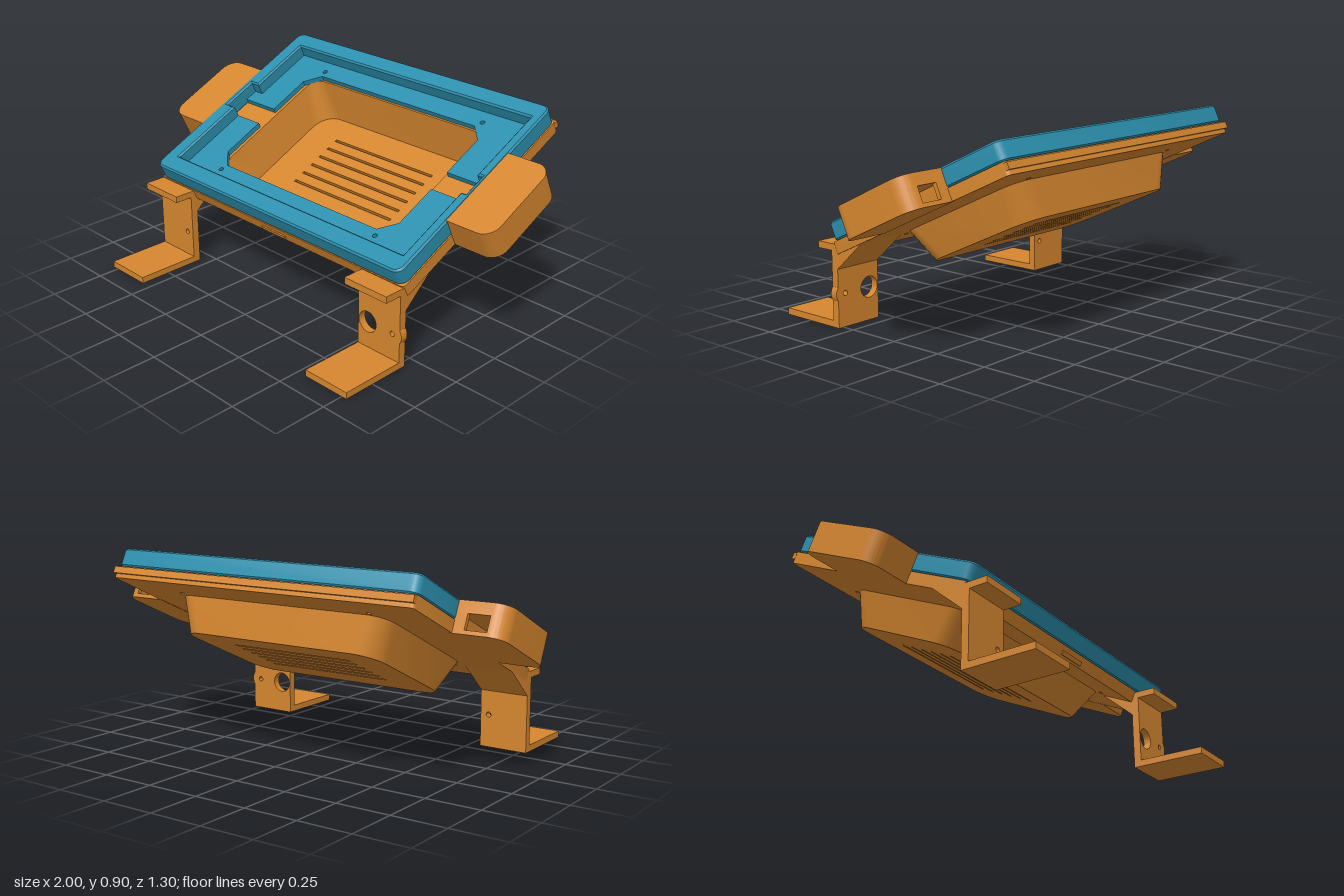
import * as THREE from 'three';
import { toCreasedNormals } from 'three/addons/utils/BufferGeometryUtils.js';

const orange = new THREE.MeshStandardMaterial({ color: 0xd5862f, side: THREE.DoubleSide });
const blue = new THREE.MeshStandardMaterial({ color: 0x2c8fad, side: THREE.DoubleSide });

function add(parent, name, geometry, material) {
  const mesh = new THREE.Mesh(geometry, material);
  mesh.name = name;
  parent.add(mesh);
  return mesh;
}

function box(parent, name, material, x0, x1, y0, y1, z0, z1) {
  const g = new THREE.BoxGeometry(x1 - x0, y1 - y0, z1 - z0);
  g.translate((x0 + x1) / 2, (y0 + y1) / 2, (z0 + z1) / 2);
  return add(parent, name, g, material);
}

// Points of a rounded rectangle with half sizes a, b and corner radius r
function roundedPoints(a, b, r, n = 8) {
  const pts = [];
  [[1, 1], [-1, 1], [-1, -1], [1, -1]].forEach(([sx, sy], k) => {
    for (let i = 0; i <= n; i++) {
      const t = (k + i / n) * Math.PI / 2;
      pts.push(new THREE.Vector2(sx * (a - r) + r * Math.cos(t), sy * (b - r) + r * Math.sin(t)));
    }
  });
  return pts;
}

const polygon = (pts) => new THREE.Shape(pts.map(([x, y]) => new THREE.Vector2(x, y)));

function circleHole(x, y, r) {
  const p = new THREE.Path();
  p.absarc(x, y, r, 0, Math.PI * 2, true);
  return p;
}

// Extrudes a plan shape (x, -z) from height y0 to y1
function slab(shape, y0, y1, bevel = 0) {
  const g = new THREE.ExtrudeGeometry(shape, {
    depth: y1 - y0 - 2 * bevel, curveSegments: 12, bevelEnabled: bevel > 0,
    bevelSize: bevel, bevelThickness: bevel, bevelOffset: -bevel, bevelSegments: 1,
  });
  g.rotateX(-Math.PI / 2);
  g.translate(0, y0 + bevel, 0);
  return toCreasedNormals(g, 0.5);
}

// Skin between rounded rectangles given as [halfX, halfZ, radius, y]
function loft(rings) {
  const pos = [], idx = [];
  const loops = rings.map(([a, b, r]) => roundedPoints(a, b, r));
  const n = loops[0].length;
  loops.forEach((loop, k) => loop.forEach((p) => pos.push(p.x, rings[k][3], -p.y)));
  for (let k = 0; k < rings.length - 1; k++) {
    for (let i = 0; i < n; i++) {
      const a = k * n + i, b = k * n + (i + 1) % n;
      idx.push(a, a + n, b, b, a + n, b + n);
    }
  }
  const g = new THREE.BufferGeometry();
  g.setAttribute('position', new THREE.Float32BufferAttribute(pos, 3));
  g.setIndex(idx);
  return toCreasedNormals(g, 0.5);
}

function buildFrame(tilted) {
  // Raised rim with a bump in the recess for each cable exit
  const rim = new THREE.Shape(roundedPoints(0.78, 0.53, 0.04));
  rim.holes.push(polygon([
    [0.73, -0.44], [0.73, -0.055], [0.755, -0.055], [0.755, 0.055], [0.73, 0.055], [0.73, 0.44],
    [-0.7, 0.44], [-0.7, 0.12], [-0.75, 0.12], [-0.75, -0.055], [-0.7, -0.055], [-0.7, -0.44],
  ]));
  add(tilted, 'frameRim', slab(rim, 0, 0.085, 0.008), blue);

  // Recess floor in two halves, split by the cable channel
  for (const s of [1, -1]) {
    const half = polygon([
      [0.76, 0.055], [0.76, 0.5], [-0.755, 0.5], [-0.755, 0.055], [-0.55, 0.055],
      [-0.55, 0.275], [-0.48, 0.345], [0.48, 0.345], [0.55, 0.275], [0.55, 0.055],
    ].map(([x, y]) => [x, y * s]));
    for (const x of [-0.49, 0.5]) half.holes.push(circleHole(x, s * 0.378, 0.011));
    add(tilted, s > 0 ? 'backFloor' : 'frontFloor', slab(half, 0.001, 0.025), blue);
  }
}

function buildBase(tilted) {
  // Base plate with the basin opening and screw holes
  const plate = new THREE.Shape(roundedPoints(0.78, 0.53, 0.015));
  plate.holes.push(new THREE.Path(roundedPoints(0.535, 0.338, 0.07)));
  for (const s of [1, -1]) for (const x of [-0.49, 0.5]) plate.holes.push(circleHole(x, s * 0.378, 0.011));
  add(tilted, 'basePlate', slab(plate, -0.055, 0), orange);
  box(tilted, 'backLip', orange, -0.78, 0.78, -0.036, -0.006, -0.541, -0.52);
  box(tilted, 'frontTab', orange, -0.075, 0.075, -0.045, -0.025, 0.52, 0.536);

  // Tapered basin: outer skin, inner skin and slotted floor
  add(tilted, 'basinWall', loft([
    [0.535, 0.338, 0.07, 0], [0.497, 0.292, 0.1, -0.19], [0.51, 0.31, 0.11, -0.21], [0.552, 0.355, 0.09, -0.05],
  ]), orange);
  const floor = new THREE.Shape(roundedPoints(0.509, 0.309, 0.11));
  for (let i = 0; i < 6; i++) {
    const z = -0.162 + i * 0.0607;
    floor.holes.push(polygon([[-0.31, -z - 0.006], [-0.31, -z + 0.006], [0.31, -z + 0.006], [0.31, -z - 0.006]]));
  }
  add(tilted, 'basinFloor', slab(floor, -0.21, -0.19), orange);
}

// Hollow side pod with a slot in its back wall
function buildPod(tilted, side) {
  const pod = new THREE.Group();
  pod.name = side > 0 ? 'leftPod' : 'rightPod';
  const cap = new THREE.Shape();
  cap.moveTo(0.77, -0.215);
  cap.lineTo(0.93, -0.215);
  cap.absarc(0.93, -0.145, 0.07, -Math.PI / 2, 0, false);
  cap.absarc(0.93, 0.145, 0.07, 0, Math.PI / 2, false);
  cap.lineTo(0.77, 0.215);
  const ring = new THREE.Shape();
  ring.moveTo(0.77, -0.215);
  ring.lineTo(0.93, -0.215);
  ring.absarc(0.93, -0.145, 0.07, -Math.PI / 2, 0, false);
  ring.absarc(0.93, 0.145, 0.07, 0, Math.PI / 2, false);
  ring.lineTo(0.93, 0.195);
  ring.absarc(0.93, 0.145, 0.05, Math.PI / 2, 0, true);
  ring.absarc(0.93, -0.145, 0.05, 0, -Math.PI / 2, true);
  ring.lineTo(0.79, -0.195);
  ring.lineTo(0.79, 0.195);
  ring.lineTo(0.83, 0.195);
  ring.lineTo(0.83, 0.215);
  ring.lineTo(0.77, 0.215);
  const layers = [['podBottom', cap, -0.056, -0.038], ['podWall', ring, -0.038, 0.03], ['podTop', cap, 0.03, 0.083]];
  for (const [name, shape, y0, y1] of layers) {
    const m = add(pod, name, slab(shape, y0, y1), orange);
    m.scale.x = side;
  }
  tilted.add(pod);
}

function buildLeg(model, side) {
  const leg = new THREE.Group();
  leg.name = side > 0 ? 'leftLeg' : 'rightLeg';
  const [x0, x1] = side > 0 ? [0.545, 0.776] : [-0.78, -0.55];
  // Upright, with a rounded side bulge and two holes on the left leg
  const up = new THREE.Shape();
  up.moveTo(x0, 0);
  up.lineTo(x1, 0);
  if (side > 0) up.absarc(0.735, 0.15, 0.051, -0.64, 0.64, false);
  up.lineTo(x1, 0.37);
  up.lineTo(x0, 0.37);
  if (side > 0) up.holes.push(circleHole(0.598, 0.15, 0.048), circleHole(0.735, 0.15, 0.012));
  else up.holes.push(circleHole(-0.59, 0.15, 0.012));
  const upright = new THREE.ExtrudeGeometry(up, { depth: 0.035, bevelEnabled: false, curveSegments: 20 });
  upright.translate(0, 0, 0.31);
  add(leg, 'upright', toCreasedNormals(upright, 0.5), orange);
  box(leg, 'foot', orange, x0, x1, 0, 0.03, 0.34, 0.65);
  box(leg, 'flange', orange, x0, x1, 0.34, 0.37, 0.31, 0.43);
  // Sloping brace below the base plate, drawn as (-z, y)
  const brace = new THREE.ExtrudeGeometry(
    polygon([[-0.312, 0.26], [-0.15, 0.404], [-0.2, 0.4], [-0.312, 0.35]]),
    { depth: x1 - x0, bevelEnabled: false });
  brace.rotateY(Math.PI / 2);
  brace.translate(x0, 0, 0);
  add(leg, 'brace', brace, orange);
  model.add(leg);
}

export function createModel() {
  const model = new THREE.Group();
  model.name = 'displayStand';
  // Display case leaning back by 25 degrees
  const tilted = new THREE.Group();
  tilted.name = 'tiltedCase';
  tilted.position.set(0, 0.6, -0.148);
  tilted.rotation.x = THREE.MathUtils.degToRad(25);
  buildFrame(tilted);
  buildBase(tilted);
  model.add(tilted);
  for (const side of [1, -1]) {
    buildPod(tilted, side);
    buildLeg(model, side);
  }
  return model;
}
